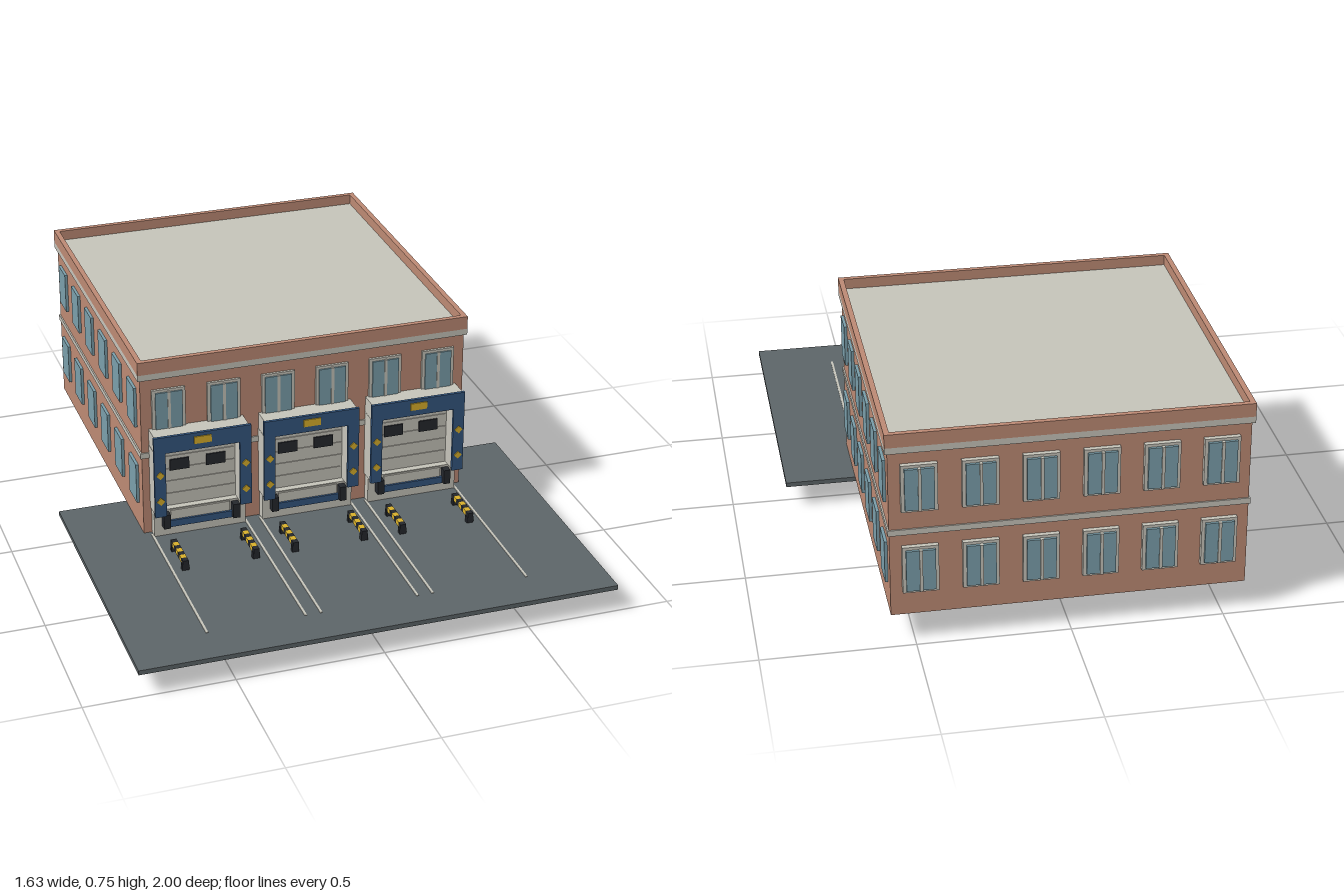
import * as THREE from 'three';

const mat = (name, color) => {
  const m = new THREE.MeshStandardMaterial({ color });
  m.name = name;
  return m;
};

export function createModel() {
  const brick = mat('brick', 0xbd8a74);
  const stone = mat('pale stone', 0xc6c4ba);
  const asphalt = mat('asphalt', 0x5d6568);
  const glass = mat('glass', 0x7b9fab);
  const blue = mat('dock blue', 0x34567f);
  const yellow = mat('safety yellow', 0xd9b02b);
  const black = mat('black rubber', 0x25282d);

  const model = new THREE.Group();
  model.name = 'loadingDockBuilding';

  // Box given by its min and max on each axis
  const box = (parent, name, m, x0, x1, y0, y1, z0, z1) => {
    const mesh = new THREE.Mesh(new THREE.BoxGeometry(x1 - x0, y1 - y0, z1 - z0), m);
    mesh.position.set((x0 + x1) / 2, (y0 + y1) / 2, (z0 + z1) / 2);
    mesh.name = name;
    parent.add(mesh);
    return mesh;
  };
  const group = (name, x = 0, y = 0, z = 0) => {
    const g = new THREE.Group();
    g.name = name;
    g.position.set(x, y, z);
    model.add(g);
    return g;
  };

  // Yard and foundation block
  box(model, 'yard', asphalt, -0.816, 0.816, 0.081, 0.097, -0.055, 1);
  box(model, 'foundationBlock', stone, -0.095, 0.095, 0, 0.1, -0.487, -0.297);

  // Building shell
  box(model, 'walls', brick, -0.576, 0.576, 0.099, 0.69, -0.97, 0.185);
  box(model, 'middleBand', stone, -0.581, 0.581, 0.388, 0.408, -0.975, 0.19);
  box(model, 'corniceBand', stone, -0.585, 0.585, 0.68, 0.702, -0.981, 0.194);
  box(model, 'roof', stone, -0.57, 0.57, 0.7, 0.712, -0.967, 0.18);

  // Parapet ring
  const parapet = group('parapet');
  const t = 0.018;
  for (const s of [-1, 1]) {
    const a = s * 0.585, b = s * (0.585 - t);
    box(parapet, 'parapetSide', brick, Math.min(a, b), Math.max(a, b), 0.702, 0.748, -0.981, 0.194);
  }
  box(parapet, 'parapetFront', brick, -0.585 + t, 0.585 - t, 0.702, 0.748, 0.194 - t, 0.194);
  box(parapet, 'parapetBack', brick, -0.585 + t, 0.585 - t, 0.702, 0.748, -0.981, -0.981 + t);

  // Double window facing +z, origin at the wall
  const doubleWindow = (x, y, z, turn, depth) => {
    const g = group('doubleWindow', x, y, z);
    g.rotation.y = turn;
    box(g, 'windowFrame', stone, -0.058, 0.058, -0.082, 0.082, -0.005, depth * 0.55);
    for (const s of [-1, 1]) {
      box(g, 'windowPane', glass, s * 0.026 - 0.021, s * 0.026 + 0.021, -0.072, 0.072, 0, depth * 0.85);
    }
    box(g, 'windowMullion', stone, -0.005, 0.005, -0.074, 0.074, 0, depth);
  };

  // Six windows along each face and storey
  for (let i = 0; i < 6; i++) {
    const x = (i - 2.5) * 0.192;
    doubleWindow(x, 0.557, 0.185, 0, 0.016);
    for (const y of [0.557, 0.267]) doubleWindow(x, y, -0.97, Math.PI, 0.03);

    const z = 0.09 - i * 0.193;
    for (const y of [0.557, 0.267]) {
      for (const s of [-1, 1]) {
        box(model, 'sideWindow', glass, s * 0.58 - 0.006, s * 0.58 + 0.006, y - 0.073, y + 0.073, z - 0.048, z + 0.048);
      }
    }
  }

  // Loading docks
  for (const x of [-0.385, 0, 0.385]) {
    const dock = group('loadingDock', x);

    // Shelter hood with blue pads
    box(dock, 'shelterTop', stone, -0.165, 0.165, 0.437, 0.495, 0.185, 0.255);
    box(dock, 'headPad', blue, -0.17, 0.17, 0.437, 0.498, 0.255, 0.266);
    box(dock, 'headMarker', yellow, -0.03, 0.03, 0.459, 0.485, 0.264, 0.27);
    for (const s of [-1, 1]) {
      const c = s * 0.15;
      box(dock, 'shelterSide', stone, c - 0.016, c + 0.016, 0.197, 0.437, 0.185, 0.255);
      box(dock, 'sidePad', blue, c - 0.02, c + 0.02, 0.197, 0.437, 0.255, 0.266);
      for (const y of [0.357, 0.258]) {
        const d = box(dock, 'sideMarker', yellow, c - 0.01, c + 0.01, y - 0.01, y + 0.01, 0.264, 0.27);
        d.rotation.z = Math.PI / 4;
      }
    }

    // Sectional door with two windows
    box(dock, 'door', stone, -0.134, 0.134, 0.195, 0.437, 0.18, 0.192);
    for (let i = 0; i < 5; i++) {
      const y = 0.199 + i * 0.0475;
      box(dock, 'doorSection', stone, -0.13, 0.13, y, y + 0.045, 0.19, 0.195);
    }
    for (const s of [-1, 1]) {
      box(dock, 'doorWindow', black, s * 0.064 - 0.034, s * 0.064 + 0.034, 0.333, 0.374, 0.192, 0.2);
    }

    // Dock base, leveller, lip and bumpers
    box(dock, 'dockBase', stone, -0.162, 0.162, 0.097, 0.196, 0.18, 0.216);
    box(dock, 'leveller', stone, -0.105, 0.105, 0.157, 0.192, 0.21, 0.222);
    box(dock, 'levellerLip', blue, -0.112, 0.112, 0.13, 0.155, 0.21, 0.226);
    for (const s of [-1, 1]) {
      const c = s * 0.123;
      box(dock, 'bumper', black, c - 0.012, c + 0.012, 0.135, 0.188, 0.214, 0.244);

      // Striped wheel guide on two feet
      for (let i = 0; i < 7; i++) {
        const z = 0.315 + i * 0.0215;
        box(dock, 'wheelGuide', i % 2 ? yellow : black, c - 0.01, c + 0.01, 0.117, 0.135, z, z + 0.0215);
      }
      for (const z of [0.325, 0.455]) {
        box(dock, 'guideFoot', black, c - 0.012, c + 0.012, 0.097, 0.12, z - 0.008, z + 0.008);
      }

      // Painted bay line
      box(dock, 'bayLine', stone, s * 0.166 - 0.004, s * 0.166 + 0.004, 0.096, 0.099, 0.2, 0.855);
    }
  }
  return model;
}
